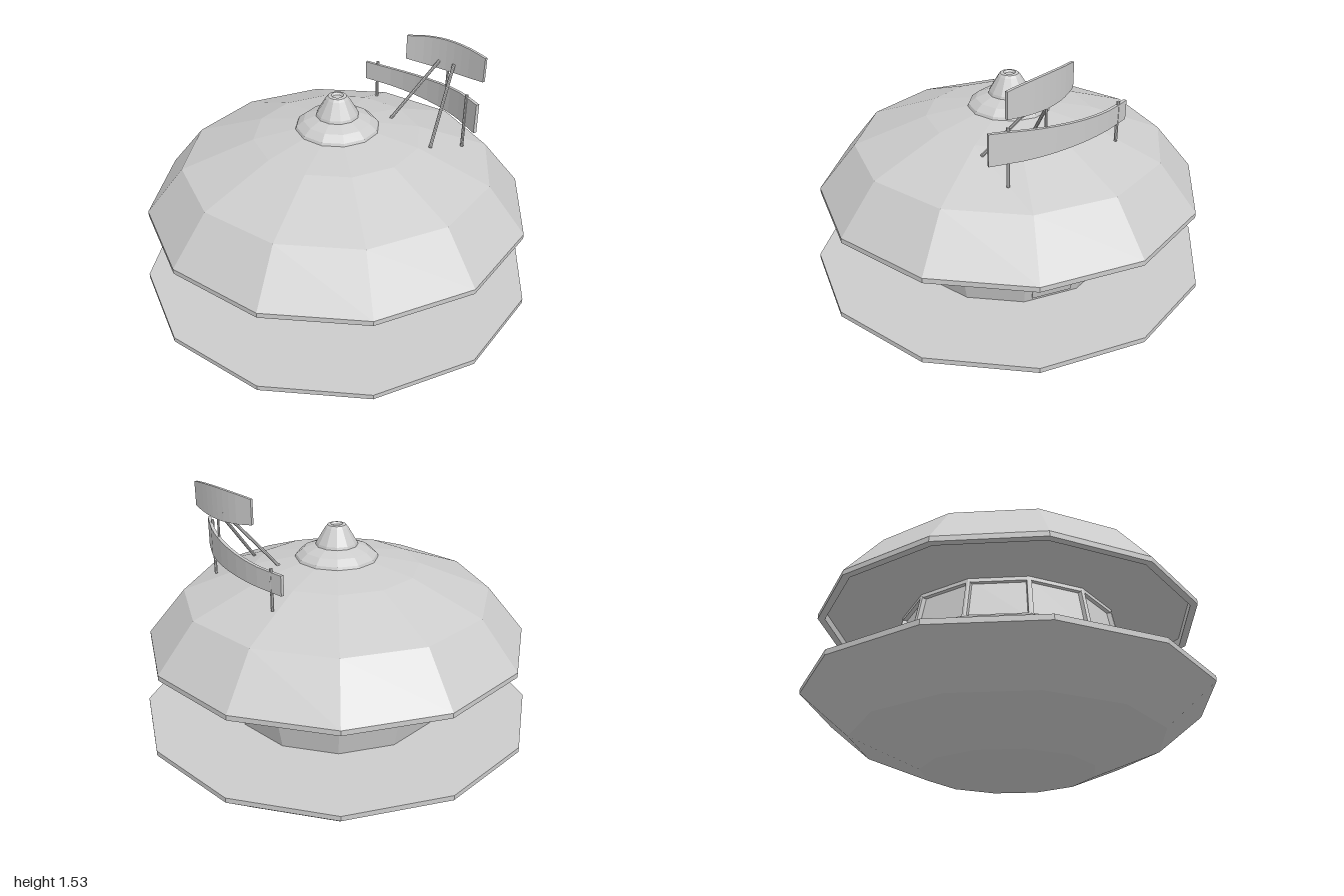
import * as THREE from 'three';

const SIDES = 12;
const material = new THREE.MeshStandardMaterial({ color: 0xcccccc, flatShading: true });

function add(parent, name, geometry) {
  const mesh = new THREE.Mesh(geometry, material);
  mesh.name = name;
  parent.add(mesh);
  return mesh;
}

// Faceted solid of revolution; profile runs from bottom to top
function turned(parent, name, profile, sides = SIDES) {
  return add(parent, name, new THREE.LatheGeometry(profile.map(([r, y]) => new THREE.Vector2(r, y)), sides));
}

// Moves every vertex of a geometry by a rule
function reshape(geometry, rule) {
  const pos = geometry.attributes.position;
  const v = new THREE.Vector3();
  for (let i = 0; i < pos.count; i++) {
    v.fromBufferAttribute(pos, i);
    rule(v);
    pos.setXYZ(i, v.x, v.y, v.z);
  }
  geometry.computeVertexNormals();
  return geometry;
}

// Slab lying on one facet of the cabin, spanning u0..u1 across the facet
function facetSlab(parent, name, facet, u0, u1, [rLow, yLow], [rHigh, yHigh], depth) {
  const a0 = (facet / SIDES) * Math.PI * 2;
  const a1 = ((facet + 1) / SIDES) * Math.PI * 2;
  const geometry = reshape(new THREE.BoxGeometry(1, 1, 1), (v) => {
    const u = v.x < 0 ? u1 : u0;
    const r = (v.y < 0 ? rLow : rHigh) - (v.z < 0 ? depth : 0);
    v.set(
      r * THREE.MathUtils.lerp(Math.cos(a0), Math.cos(a1), u),
      v.y < 0 ? yLow : yHigh,
      r * THREE.MathUtils.lerp(Math.sin(a0), Math.sin(a1), u)
    );
  });
  return add(parent, name, geometry);
}

// Upright curved plate following a curve in plan
function curvedPlate(parent, name, points, bottom, top, thickness) {
  const curve = new THREE.CatmullRomCurve3(points.map(([x, z]) => new THREE.Vector3(x, 0, z)));
  const geometry = reshape(new THREE.BoxGeometry(1, 1, 1, 1, 1, 10), (v) => {
    const t = v.z + 0.5;
    const p = curve.getPoint(t);
    const d = curve.getTangent(t);
    const y = v.y < 0 ? bottom(t) : top(t);
    v.set(p.x + d.z * v.x * thickness, y, p.z - d.x * v.x * thickness);
  });
  return add(parent, name, geometry);
}

// Straight rod between two points
function rod(parent, name, from, to, radius) {
  const a = new THREE.Vector3(...from);
  const b = new THREE.Vector3(...to);
  const dir = b.clone().sub(a);
  const mesh = add(parent, name, new THREE.CylinderGeometry(radius, radius, dir.length(), 8));
  mesh.position.copy(a).add(b).multiplyScalar(0.5);
  mesh.quaternion.setFromUnitVectors(new THREE.Vector3(0, 1, 0), dir.normalize());
  return mesh;
}

export function createModel() {
  const model = new THREE.Group();
  model.name = 'saucerBuilding';

  // Lower saucer with flat deck
  turned(model, 'lowerSaucer', [[0, 0], [0.42, 0], [0.76, 0.14], [1, 0.335], [1, 0.36], [0, 0.36]]);

  // Roof with a shallow recess underneath
  turned(model, 'roof', [
    [0, 0.77], [0.92, 0.77], [0.92, 0.73], [0.955, 0.73], [0.955, 0.755],
    [0.765, 0.985], [0.41, 1.12], [0.2, 1.16], [0, 1.165],
  ]);
  turned(model, 'roofCap', [[0.207, 1.155], [0.2, 1.172], [0.165, 1.2], [0.11, 1.222], [0, 1.225]]);
  turned(model, 'roofNozzle', [
    [0.105, 1.22], [0.1, 1.235], [0.055, 1.31], [0.045, 1.322], [0.03, 1.325], [0.022, 1.315], [0, 1.315],
  ]);

  // Cabin: wall below, recessed glass above
  const cabin = new THREE.Group();
  cabin.name = 'cabin';
  model.add(cabin);
  turned(cabin, 'lowerWall', [[0.537, 0.355], [0.578, 0.53], [0.578, 0.565], [0.5, 0.565]]);
  turned(cabin, 'windowGlass', [[0.56, 0.55], [0.515, 0.775]]);

  const sill = [0.58, 0.56];
  const head = [0.538, 0.772];
  for (let i = 0; i < SIDES; i++) {
    const isDoor = i === 0;
    const margin = isDoor ? 0.13 : 0.04;
    // Mullions at both edges of the facet, and the rail over the window
    facetSlab(cabin, 'mullion', i, 0, margin, sill, head, 0.03);
    facetSlab(cabin, 'mullion', i, 1 - margin, 1, sill, head, 0.03);
    facetSlab(cabin, 'windowHead', i, margin, 1 - margin, [0.542, 0.75], head, 0.03);
    // Belt trim, interrupted by the door
    const spans = isDoor ? [[0, 0.13], [0.87, 1]] : [[0, 1]];
    for (const [u0, u1] of spans) {
      facetSlab(cabin, 'beltTrim', i, u0, u1, [0.597, 0.53], [0.597, 0.553], 0.04);
      facetSlab(cabin, 'beltTrimTop', i, u0, u1, [0.597, 0.553], [0.583, 0.566], 0.04);
    }
  }
  facetSlab(cabin, 'doorLower', 0, 0.14, 0.86, [0.547, 0.375], [0.587, 0.545], 0.03);
  facetSlab(cabin, 'doorUpper', 0, 0.14, 0.86, [0.587, 0.545], [0.542, 0.77], 0.03);

  // Antennas on the model's left side
  const antennas = new THREE.Group();
  antennas.name = 'antennas';
  model.add(antennas);
  const smooth = THREE.MathUtils.smoothstep;
  curvedPlate(antennas, 'longAntennaPlate',
    [[0.465, -0.32], [0.515, -0.13], [0.535, 0.08], [0.52, 0.28], [0.465, 0.47]],
    () => 1.16, (t) => 1.255 + 0.055 * smooth(t, 0.1, 1.05), 0.016);
  curvedPlate(antennas, 'shortAntennaPlate',
    [[0.445, 0], [0.493, 0.1], [0.522, 0.2], [0.536, 0.31], [0.538, 0.43]],
    (t) => 1.39 - 0.06 * t * (1 - t), (t) => 1.51 + 0.08 * t * (1 - t), 0.014);

  rod(antennas, 'longAntennaPost', [0.485, 1.04, 0.38], [0.485, 1.32, 0.38], 0.008);
  rod(antennas, 'longAntennaPost', [0.485, 1.07, -0.255], [0.485, 1.27, -0.255], 0.008);
  rod(antennas, 'shortAntennaStrut', [0.275, 1.1, 0.365], [0.52, 1.42, 0.25], 0.008);
  rod(antennas, 'shortAntennaStrut', [0.275, 1.13, 0.075], [0.515, 1.42, 0.165], 0.008);
  rod(antennas, 'shortAntennaBrace', [0.525, 1.26, 0.21], [0.525, 1.42, 0.21], 0.006);

  return model;
}
